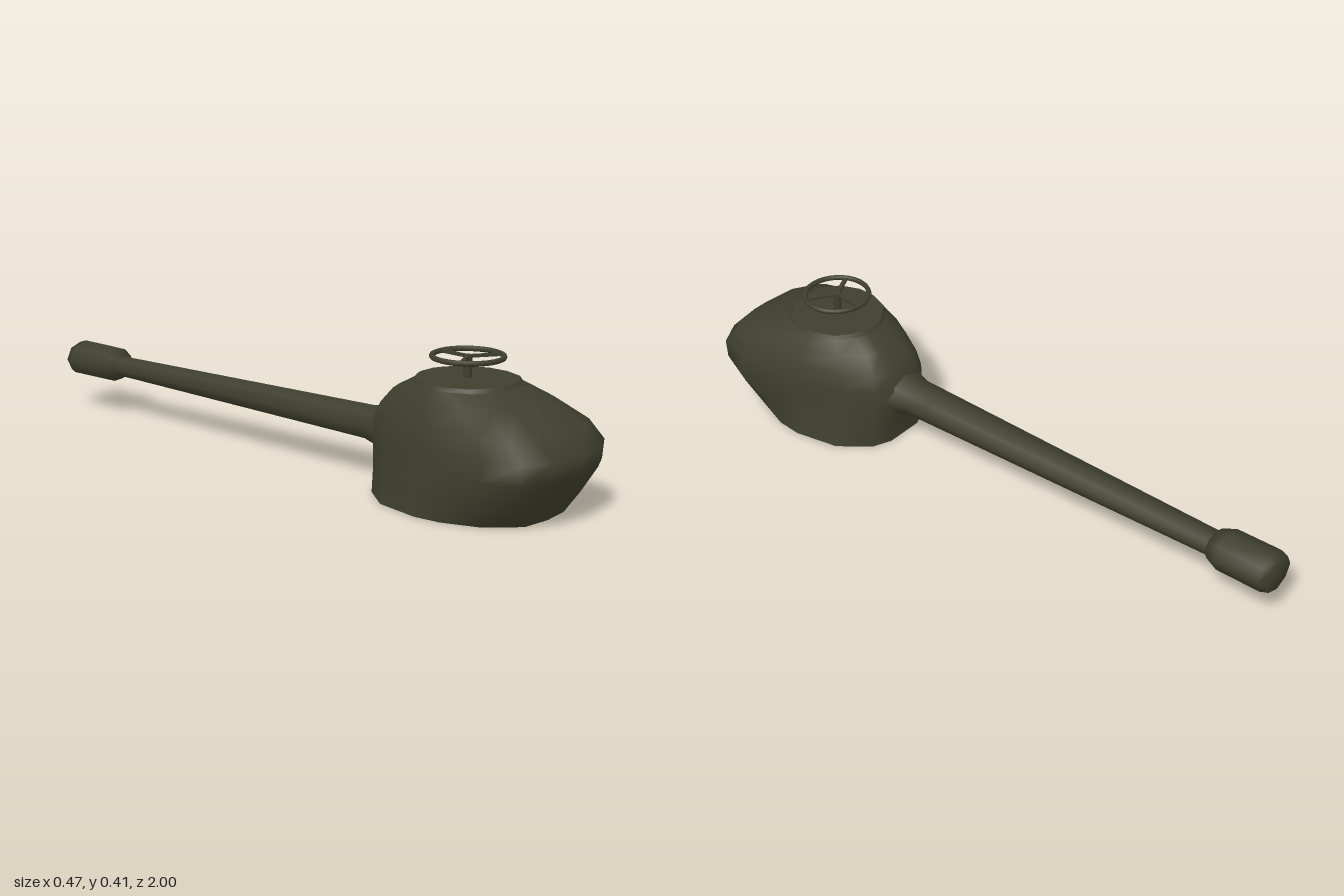
import * as THREE from 'three';

const olive = new THREE.MeshStandardMaterial({ color: 0x3f3f2e });
olive.name = 'dark olive';

function add(group, name, geometry, x = 0, y = 0, z = 0) {
  const mesh = new THREE.Mesh(geometry, olive);
  mesh.name = name;
  mesh.position.set(x, y, z);
  group.add(mesh);
  return mesh;
}

// Half outlines [x, z] of the cast shell from front to back, at rising heights
const rings = [
  [0, [[0, .89], [.09, .88], [.17, .80], [.21, .69], [.217, .61], [.19, .47], [.12, .38], [.06, .355], [0, .355]]],
  [.065, [[0, .94], [.10, .925], [.18, .87], [.207, .76], [.208, .61], [.175, .46], [.115, .38], [.06, .355], [0, .355]]],
  [.14, [[0, .985], [.11, .97], [.19, .93], [.233, .83], [.207, .65], [.168, .47], [.11, .375], [.06, .335], [0, .335]]],
  [.195, [[0, .998], [.11, .98], [.19, .935], [.214, .83], [.203, .63], [.16, .46], [.105, .37], [.06, .335], [0, .33]]],
  [.245, [[0, .94], [.11, .93], [.18, .89], [.198, .80], [.192, .62], [.15, .47], [.10, .385], [.055, .355], [0, .355]]],
  [.30, [[0, .845], [.08, .835], [.14, .80], [.165, .72], [.165, .60], [.13, .49], [.08, .42], [.04, .405], [0, .405]]],
  [.335, [[0, .765], [.06, .755], [.115, .715], [.14, .65], [.14, .59], [.115, .52], [.065, .48], [.03, .465], [0, .465]]],
];

function fullRing([y, half]) {
  const mirrored = half.slice(1, -1).reverse().map(([x, z]) => [-x, z]);
  return [...half, ...mirrored].map(([x, z]) => [x, y, z]);
}

function meshFrom(points, index) {
  const g = new THREE.BufferGeometry();
  g.setAttribute('position', new THREE.Float32BufferAttribute(points.flat(), 3));
  g.setIndex(index);
  g.computeVertexNormals();
  return g;
}

function shellSides(loops) {
  const n = loops[0].length, index = [];
  for (let i = 0; i < loops.length - 1; i++) {
    for (let j = 0; j < n; j++) {
      const a = i * n + j, b = i * n + (j + 1) % n;
      index.push(a, b, b + n, a, b + n, a + n);
    }
  }
  return meshFrom(loops.flat(), index);
}

function cap(loop, up) {
  const n = loop.length, index = [];
  for (let j = 0; j < n; j++) {
    const k = (j + 1) % n;
    index.push(n, up ? j : k, up ? k : j);
  }
  return meshFrom([...loop, [0, loop[0][1], .62]], index);
}

// Eight-sided tube turned along -z, profile given as [radius, z]
function turned(profile, flatten) {
  const pts = profile.map(([r, z]) => new THREE.Vector2(r, -z));
  return new THREE.LatheGeometry(pts, 8).rotateX(-Math.PI / 2).scale(1, flatten, 1);
}

export function createModel() {
  const model = new THREE.Group();
  model.name = 'turret';

  // Cast shell
  const loops = rings.map(fullRing);
  add(model, 'shell', shellSides(loops));
  add(model, 'shellBase', cap(loops[0], false));

  // Raised roof plate
  const roof = loops[loops.length - 1];
  const roofTop = roof.map(([x, , z]) => [x * .96, .346, .615 + (z - .615) * .94]);
  add(model, 'roofRim', shellSides([roof, roofTop]));
  add(model, 'roofPlate', cap(roofTop, true));

  // Gun
  add(model, 'barrel', turned([[.085, .40], [.078, .33], [.066, .29], [.064, .2], [.042, -.82]], .78), 0, .161, 0);
  add(model, 'muzzle', turned([[0, -.785], [.05, -.79], [.068, -.83], [.069, -.97], [.06, -.995], [0, -1]], .85), 0, .162, 0);

  // Hatch handwheel
  const wheel = new THREE.Group();
  wheel.name = 'handwheel';
  wheel.position.set(0, 0, .615);
  model.add(wheel);
  add(wheel, 'wheelPost', new THREE.CylinderGeometry(.012, .012, .07, 10), 0, .374, 0);
  add(wheel, 'wheelRim', new THREE.TorusGeometry(.098, .0078, 8, 32).rotateX(Math.PI / 2), 0, .405, 0);
  for (let i = 0; i < 3; i++) {
    const spoke = new THREE.BoxGeometry(.012, .008, .098).translate(0, 0, -.049);
    add(wheel, 'wheelSpoke', spoke, 0, .405, 0).rotation.y = i * Math.PI * 2 / 3 - .06;
  }
  return model;
}
